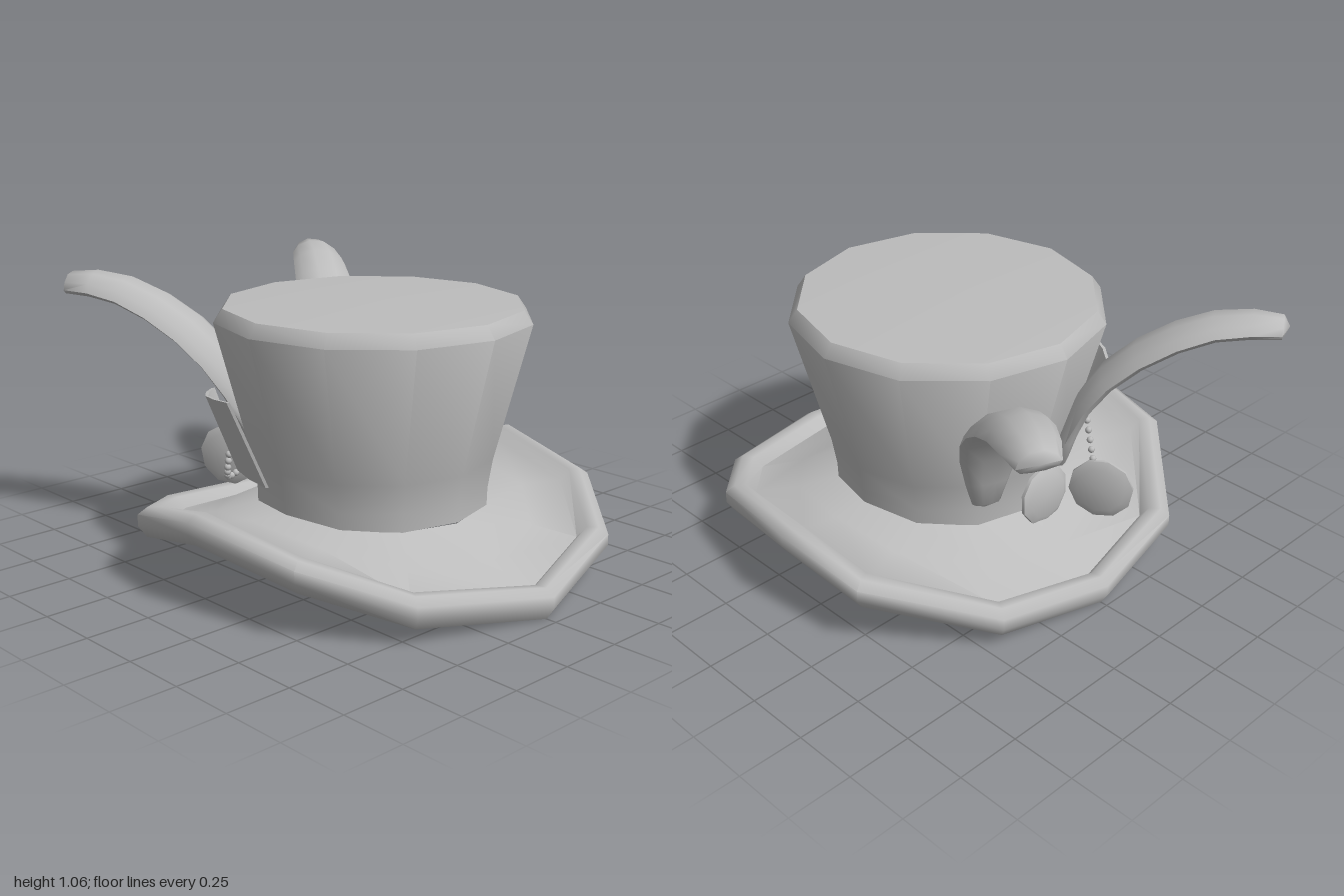
import * as THREE from 'three';
import { toCreasedNormals } from 'three/addons/utils/BufferGeometryUtils.js';

const V = (x, y, z) => new THREE.Vector3(x, y, z);
const grey = new THREE.MeshStandardMaterial({ color: 0xbcbcbc });
grey.name = 'plain grey';

function add(parent, name, geometry) {
  const mesh = new THREE.Mesh(geometry, grey);
  mesh.name = name;
  parent.add(mesh);
  return mesh;
}

// Skin closed rings of points, listed from the top end to the bottom end.
function loft(rings, crease = 0.9) {
  const n = rings[0].length;
  const pos = rings.flatMap(r => r.flatMap(p => [p.x, p.y, p.z]));
  const index = [];
  for (let j = 0; j < rings.length - 1; j++) {
    for (let i = 0; i < n; i++) {
      const k = (i + 1) % n;
      const a = j * n + i, b = a + n, c = (j + 1) * n + k, d = j * n + k;
      index.push(a, b, c, a, c, d);
    }
  }
  const g = new THREE.BufferGeometry();
  g.setAttribute('position', new THREE.Float32BufferAttribute(pos, 3));
  g.setIndex(index);
  return toCreasedNormals(g, crease);
}

const CZ = 0.09; // crown centre in z
const SIDES = 12;

// Rim corners from front to back: x, z, height of the rolled edge
const RIM = [[0, 0.99, 0.12], [0.51, 0.83, 0.18], [0.775, 0.52, 0.29], [0.86, 0.06, 0.36],
  [0.82, -0.3, 0.29], [0.46, -0.665, 0.17], [0, -0.75, 0.12]];

const around = fn => Array.from({ length: SIDES }, (_, i) => fn(i, i * Math.PI * 2 / SIDES));
const circle = (r, y) => around((i, a) => V(Math.sin(a) * r, y, CZ + Math.cos(a) * r));

// Ring following the rim, scaled about the crown centre and shifted in height
const rimRing = (scale, dy) => around(i => {
  const [x, z, y] = RIM[i <= 6 ? i : SIDES - i];
  return V((i <= 6 ? x : -x) * scale, y + dy, CZ + (z - CZ) * scale);
});

function crownGeometry() {
  return loft([circle(0, 1.02), circle(0.565, 1.0), circle(0.6, 0.95),
    circle(0.465, 0.43), circle(0.447, 0.32), circle(0.445, 0.25)]);
}

function brimGeometry() {
  const base = around((i, a) => V(Math.sin(a) * 0.44, 0.275 - 0.03 * Math.abs(Math.cos(a)), CZ + Math.cos(a) * 0.44));
  const foot = rimRing(0.87, -0.045);
  const floor = base.map((p, i) => {
    const q = p.clone().lerp(foot[i], 0.5);
    q.y -= 0.012;
    return q;
  });
  return loft([base, floor, foot, rimRing(0.91, -0.003), rimRing(0.96, 0),
    rimRing(1, -0.025), rimRing(1, -0.07), rimRing(0.965, -0.115), circle(0, 0.25)], 1.1);
}

// Long ear sweeping up and back; s = 1 is the left one
function earGeometry(s) {
  const path = new THREE.CatmullRomCurve3([V(0.2, 0.33, -0.31), V(0.22, 0.5, -0.335), V(0.29, 0.73, -0.43),
    V(0.4, 0.91, -0.6), V(0.53, 1.015, -0.8), V(0.645, 1.02, -0.98)]);
  const width = [0.0, 0.055, 0.085, 0.115, 0.13, 0.13, 0.125, 0.115, 0.1, 0.075, 0.0];
  const rings = width.map((w, j) => {
    const t = [0, 0.03, 0.13, 0.27, 0.4, 0.53, 0.66, 0.78, 0.89, 0.98, 1][j];
    const p = path.getPointAt(t), T = path.getTangentAt(t);
    const side = V(0.88, -0.12 * t, 0.45);
    side.addScaledVector(T, -side.dot(T)).normalize();
    const up = side.clone().cross(T);
    const thick = Math.min(w * 0.5, 0.042);
    const ring = [];
    for (let i = 0; i < 10; i++) {
      const a = i * Math.PI / 5, c = Math.cos(a);
      const q = p.clone().addScaledVector(side, w * c)
        .addScaledVector(up, thick * Math.sin(a) - 0.2 * w * c * c);
      q.x *= s;
      ring.push(q);
    }
    return s > 0 ? ring : ring.reverse();
  });
  return loft(rings, 1.2);
}

// Thin bent card laid against the crown: corner points blended across a box
function cardGeometry() {
  const A = V(-0.41, 0.66, -0.36), B = V(-0.6, 0.7, -0.03), C = V(-0.46, 0.36, 0.01), D = V(-0.37, 0.42, -0.27);
  const g = new THREE.BoxGeometry(1, 1, 0.012, 4, 1, 1);
  const p = g.attributes.position;
  for (let i = 0; i < p.count; i++) {
    const u = p.getX(i) + 0.5, v = p.getY(i) + 0.5;
    const q = D.clone().lerp(C, u).lerp(A.clone().lerp(B, u), v);
    const off = p.getZ(i) + 0.05 * Math.sin(Math.PI * u);
    p.setXYZ(i, q.x - off * 0.85, q.y, q.z - off * 0.5);
  }
  return toCreasedNormals(g, 0.6);
}

// Rounded coin with its face turned along the given direction
function addDisc(parent, name, r, thick, at, facing) {
  const profile = [[0, -thick], [r * 0.75, -thick], [r, -thick * 0.3], [r, thick * 0.3], [r * 0.75, thick], [0, thick]]
    .map(([x, y]) => new THREE.Vector2(x, y));
  const disc = add(parent, name, toCreasedNormals(new THREE.LatheGeometry(profile, 10), 0.8));
  disc.position.copy(at);
  disc.quaternion.setFromUnitVectors(V(0, 1, 0), facing.normalize());
}

export function createModel() {
  const model = new THREE.Group();
  model.name = 'topHat';
  add(model, 'crown', crownGeometry());
  add(model, 'brim', brimGeometry());
  add(model, 'leftEar', earGeometry(1));
  add(model, 'rightEar', earGeometry(-1));
  add(model, 'card', cardGeometry());

  // Pocket watch: case, open lid and hanging loop
  const watch = new THREE.Group();
  watch.name = 'pocketWatch';
  model.add(watch);
  addDisc(watch, 'watchCase', 0.12, 0.022, V(-0.04, 0.31, -0.385), V(0, 0.05, -1));
  addDisc(watch, 'watchLid', 0.125, 0.018, V(-0.21, 0.32, -0.52), V(0.88, 0, -0.48));
  add(watch, 'watchStem', new THREE.CylinderGeometry(0.015, 0.015, 0.03, 8)).position.set(-0.04, 0.435, -0.38);
  add(watch, 'watchLoop', new THREE.TorusGeometry(0.024, 0.008, 6, 12)).position.set(-0.04, 0.465, -0.38);

  // Bead chain draped round the foot of the right ear
  const chain = new THREE.CatmullRomCurve3([V(-0.2, 0.31, -0.42), V(-0.27, 0.28, -0.41), V(-0.34, 0.29, -0.37),
    V(-0.39, 0.34, -0.31), V(-0.42, 0.42, -0.26)]);
  const beads = new THREE.Group();
  beads.name = 'beadChain';
  model.add(beads);
  for (const p of chain.getSpacedPoints(9)) {
    add(beads, 'bead', new THREE.SphereGeometry(0.014, 8, 6)).position.copy(p);
  }
  return model;
}
